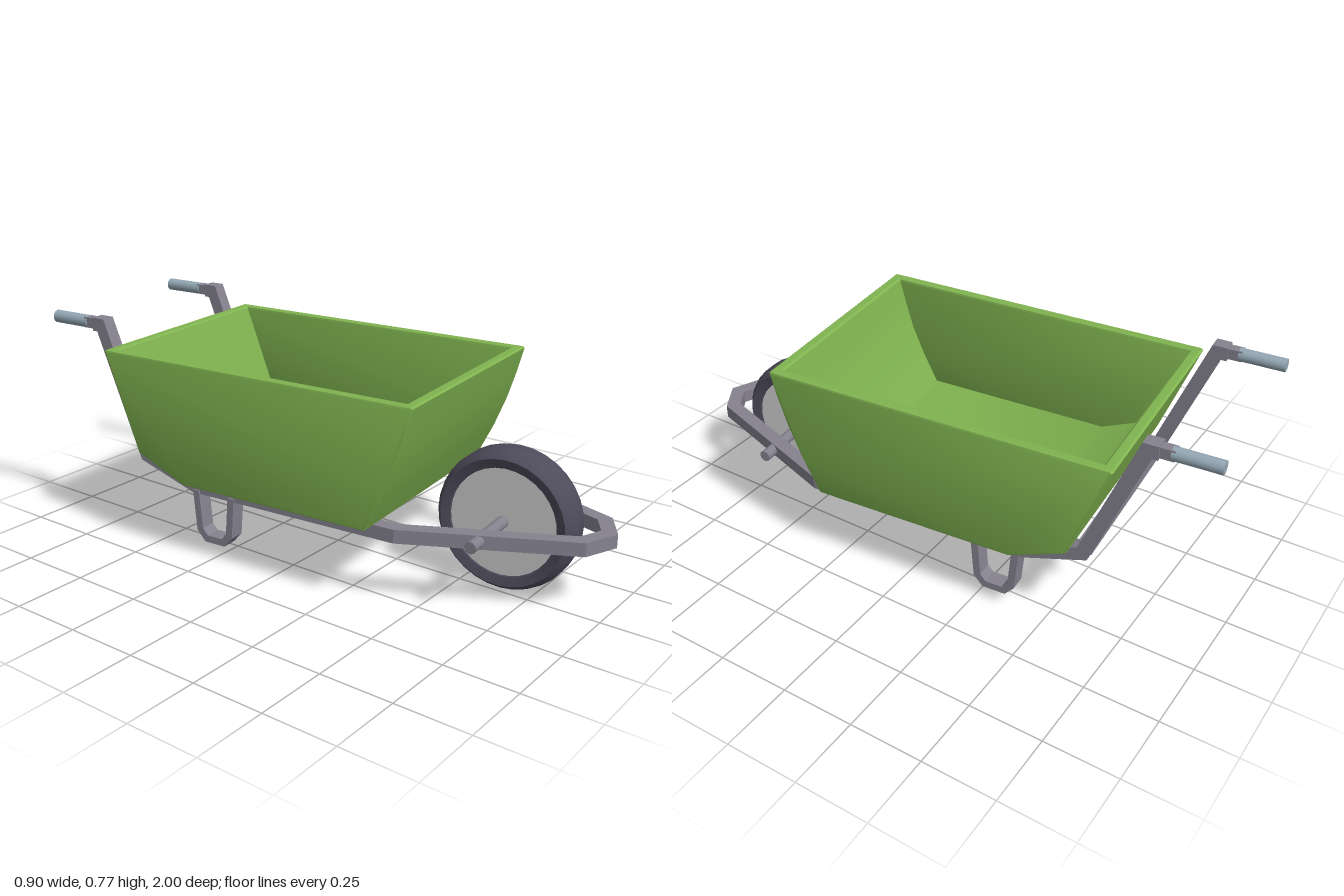
import * as THREE from 'three';
import { toCreasedNormals } from 'three/addons/utils/BufferGeometryUtils.js';

const material = (name, color) => {
  const m = new THREE.MeshStandardMaterial({ color });
  m.name = name;
  return m;
};

const V = (x, y, z) => new THREE.Vector3(x, y, z);

// Rectangular bar swept along a polyline with mitred corners
function barGeometry(path, side, width, height) {
  const dirs = path.slice(1).map((p, i) => p.clone().sub(path[i]).normalize());
  const s = side.clone().normalize();
  const v = dirs[0].clone().cross(s);
  let ring = [[1, 1], [-1, 1], [-1, -1], [1, -1]].map(([a, b]) =>
    path[0].clone().addScaledVector(s, a * width / 2).addScaledVector(v, b * height / 2));
  const rings = [ring];
  dirs.forEach((d, i) => {
    const n = d.clone().add(dirs[i + 1] ?? d);
    ring = ring.map((c) =>
      c.clone().addScaledVector(d, path[i + 1].clone().sub(c).dot(n) / d.dot(n)));
    rings.push(ring);
  });
  const pos = [];
  const quad = (a, b, c, d) => [a, b, c, a, c, d].forEach((p) => pos.push(p.x, p.y, p.z));
  for (let k = 0; k < rings.length - 1; k++) {
    for (let i = 0; i < 4; i++) {
      const j = (i + 1) % 4;
      quad(rings[k][i], rings[k][j], rings[k + 1][j], rings[k + 1][i]);
    }
  }
  quad(...[...rings[0]].reverse());
  quad(...rings[rings.length - 1]);
  const g = new THREE.BufferGeometry();
  g.setAttribute('position', new THREE.Float32BufferAttribute(pos, 3));
  g.computeVertexNormals();
  return g;
}

// Side profile of (z, y) points extruded across x, centred on x
function profileGeometry(points, width, bevel) {
  const shape = new THREE.Shape(points.map(([z, y]) => new THREE.Vector2(z, y)));
  const g = new THREE.ExtrudeGeometry(shape, {
    depth: width - 2 * bevel,
    bevelEnabled: bevel > 0,
    bevelSize: bevel,
    bevelThickness: bevel,
    bevelOffset: -bevel,
    bevelSegments: 2,
  });
  g.translate(0, 0, bevel - width / 2);
  g.rotateY(-Math.PI / 2);
  return toCreasedNormals(g, 0.45);
}

export function createModel() {
  const green = material('tray green', 0x80b350);
  const steel = material('frame grey', 0x85828f);
  const rubber = material('tyre dark grey', 0x4e4b5b);
  const pale = material('wheel disc pale grey', 0xd0d0d0);
  const gripBlue = material('grip blue grey', 0x94a8b5);

  const root = new THREE.Group();
  root.name = 'wheelbarrow';
  const add = (name, geometry, mat, parent = root) => {
    const mesh = new THREE.Mesh(geometry, mat);
    mesh.name = name;
    parent.add(mesh);
    return mesh;
  };

  // Tray: curved front, floor and back as one shell, closed by two side plates
  const tray = new THREE.Group();
  tray.name = 'tray';
  root.add(tray);
  const outer = [
    [0.497, 0.685], [0.474, 0.6], [0.442, 0.5], [0.397, 0.39], [0.335, 0.265],
    [-0.365, 0.265], [-0.555, 0.345], [-0.683, 0.685],
  ];
  const inner = [
    [-0.645, 0.685], [-0.527, 0.372], [-0.36, 0.298], [0.313, 0.298],
    [0.365, 0.4], [0.408, 0.5], [0.438, 0.6], [0.46, 0.685],
  ];
  const rimBack = [[-0.676, 0.69], [-0.652, 0.69]];
  const rimFront = [[0.467, 0.69], [0.491, 0.69]];
  add('trayShell', profileGeometry([...outer, ...rimBack, ...inner, ...rimFront], 0.784, 0), green, tray);
  const plateOutline = [...outer, rimBack[0], rimFront[1]];
  for (const s of [1, -1]) {
    const plate = add('traySide', profileGeometry(plateOutline, 0.036, 0.008), green, tray);
    plate.position.x = s * 0.382;
  }

  // Frame: one bar from handle to handle, bent around the wheel
  const half = [
    V(0.31, 0.75, -0.79), V(0.31, 0.75, -0.755), V(0.31, 0.31, -0.583),
    V(0.31, 0.24, -0.375), V(0.31, 0.24, 0.4), V(0.093, 0.24, 0.925),
  ];
  const mirrored = half.map((p) => V(-p.x, p.y, p.z)).reverse();
  add('frameRail', barGeometry([...half, V(0, 0.24, 0.973), ...mirrored], V(1, 0, 0), 0.048, 0.046), steel);

  // Cross bars under the tray
  for (const [y, z] of [[0.24, -0.03], [0.31, -0.58]]) {
    const bar = add('crossBar', new THREE.BoxGeometry(0.6, 0.044, 0.044), steel);
    bar.position.set(0, y, z);
  }

  for (const s of [1, -1]) {
    // Leg loops
    const x = s * 0.312;
    const leg = [[-0.073, 0.23], [-0.061, 0.09], [-0.035, 0.06], [0.035, 0.06], [0.061, 0.09], [0.073, 0.23]]
      .map(([z, y]) => V(x, y, z - 0.288));
    add('leg', barGeometry(leg, V(1, 0, 0), 0.056, 0.025), steel);

    // Handle neck and grip
    const neck = add('handleNeck', new THREE.BoxGeometry(0.034, 0.036, 0.06), steel);
    neck.position.set(s * 0.31, 0.75, -0.805);
    const grip = add('handleGrip', new THREE.CylinderGeometry(0.022, 0.022, 0.152, 16), gripBlue);
    grip.rotation.x = Math.PI / 2;
    grip.position.set(s * 0.31, 0.75, -0.899);
  }

  // Wheel: tyre, disc and axle
  const wheel = new THREE.Group();
  wheel.name = 'wheel';
  wheel.rotation.z = Math.PI / 2;
  wheel.position.set(0, 0.239, 0.643);
  root.add(wheel);
  const side = [[0.175, 0.045], [0.185, 0.058], [0.215, 0.067], [0.23, 0.05], [0.237, 0.028]];
  const profile = [
    ...side.map(([r, y]) => new THREE.Vector2(r, -y)),
    ...[...side].reverse().map(([r, y]) => new THREE.Vector2(r, y)),
  ];
  add('tyre', toCreasedNormals(new THREE.LatheGeometry(profile, 32), 0.5), rubber, wheel);
  add('wheelDisc', new THREE.CylinderGeometry(0.184, 0.184, 0.108, 32), pale, wheel);
  const axle = add('axle', new THREE.CylinderGeometry(0.02, 0.02, 0.575, 14), steel, wheel);
  axle.position.set(0.003, 0, 0);

  // The barrow stands turned slightly to its left
  root.rotation.y = 0.087;
  root.position.x = 0.005;
  const model = new THREE.Group();
  model.name = 'model';
  model.add(root);
  return model;
}
